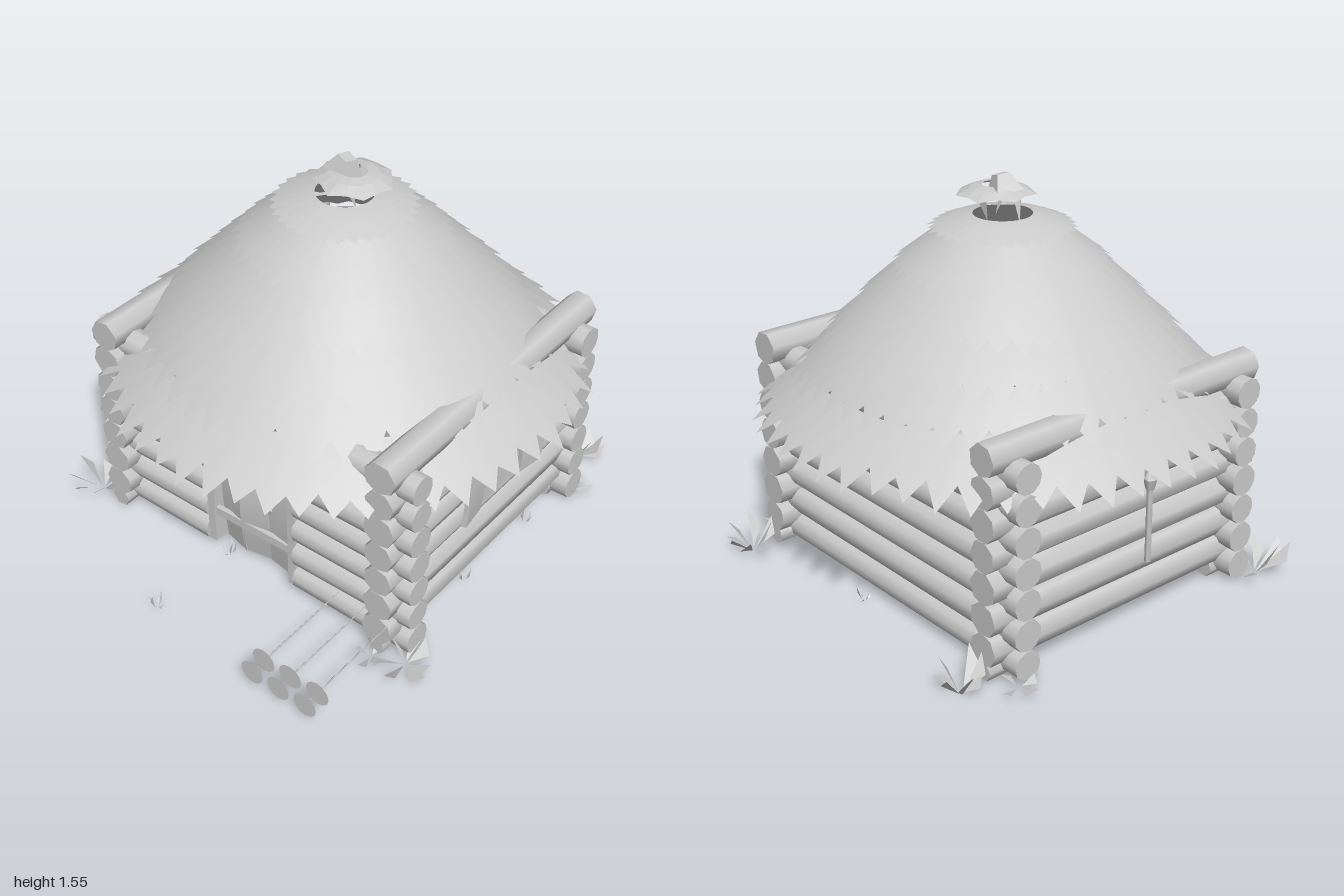
import * as THREE from 'three';

const mat = new THREE.MeshStandardMaterial({ color: 0xcccccc });
const thin = new THREE.MeshStandardMaterial({ color: 0xcccccc, side: THREE.DoubleSide });
const flat = new THREE.MeshStandardMaterial({ color: 0xcccccc, side: THREE.DoubleSide, flatShading: true });

let seed = 7;
const rand = () => (seed = (seed * 16807) % 2147483647) / 2147483647;
const jitter = (a) => (rand() - 0.5) * 2 * a;

function add(parent, name, geometry, material, x = 0, y = 0, z = 0) {
  const m = new THREE.Mesh(geometry, material);
  m.name = name;
  m.position.set(x, y, z);
  parent.add(m);
  return m;
}

function section(parent, name) {
  const g = new THREE.Group();
  g.name = name;
  parent.add(g);
  return g;
}

// Log lying along x or z, with slightly different end radii
function log(parent, name, axis, from, to, y, across, sides, r = 0.059) {
  const geo = new THREE.CylinderGeometry(r + jitter(0.003), r + jitter(0.003), to - from, sides);
  geo.rotateY(rand() * 6);
  if (axis === 'x') geo.rotateZ(Math.PI / 2);
  else geo.rotateX(Math.PI / 2);
  const mid = (from + to) / 2;
  return add(parent, name, geo, mat, axis === 'x' ? mid : across, y, axis === 'x' ? across : mid);
}

// Conical ring of thatch with a ragged, toothed lower edge
function thatchTier(r, y, rTop, yTop, teeth, depth) {
  const pos = [], idx = [], n = teeth * 2;
  const slope = (yTop - y) / (r - rTop);
  for (let i = 0; i < n; i++) {
    const a = (i / n) * Math.PI * 2;
    const inset = (i % 2 ? depth : 0) + rand() * depth * 0.35;
    const ro = r - inset;
    const rm = (r + rTop) / 2 - depth * 0.4;
    for (const [rr, yy] of [[ro, y + inset * slope], [rm, y + (r - rm) * slope + 0.008], [rTop, yTop]])
      pos.push(Math.sin(a) * rr, yy, Math.cos(a) * rr);
    const p = i * 3, q = ((i + 1) % n) * 3;
    for (let k = 0; k < 2; k++) idx.push(p + k, q + k, q + k + 1, p + k, q + k + 1, p + k + 1);
  }
  const geo = new THREE.BufferGeometry();
  geo.setAttribute('position', new THREE.Float32BufferAttribute(pos, 3));
  geo.setIndex(idx);
  geo.computeVertexNormals();
  return geo;
}

// Tuft of bent triangular blades spreading from one point
function tuft(parent, x, z, count, length, width, height) {
  const pos = [];
  for (let i = 0; i < count; i++) {
    const a = (i / count) * Math.PI * 2 + jitter(0.4);
    const l = length * (0.7 + rand() * 0.4), h = height * (0.3 + rand() * 0.7);
    const s = Math.sin(a), c = Math.cos(a), w = width / 2;
    pos.push(s * 0.01, 0.015, c * 0.01,
      s * l + c * w, h, c * l - s * w,
      s * l * 0.85 - c * w, h * 0.55, c * l * 0.85 + s * w);
  }
  const geo = new THREE.BufferGeometry();
  geo.setAttribute('position', new THREE.Float32BufferAttribute(pos, 3));
  geo.computeVertexNormals();
  add(parent, 'grassTuft', geo, flat, x, 0, z);
}

// Upright plank, bowed outward towards +z
function plankGeometry(w, h, d, bow, twist) {
  const geo = new THREE.BoxGeometry(w, h, d, 1, 6, 1);
  const p = geo.attributes.position;
  for (let i = 0; i < p.count; i++) {
    const t = p.getY(i) / h + 0.5;
    p.setZ(i, p.getZ(i) + Math.sin(t * Math.PI) * bow + p.getX(i) * twist);
    p.setX(i, p.getX(i) + Math.sin(t * Math.PI) * bow * 0.4);
  }
  geo.computeVertexNormals();
  return geo;
}

export function createModel() {
  seed = 7;
  const hut = new THREE.Group();
  hut.name = 'logHut';

  // Walls of stacked logs, front and back rows offset half a log from the sides
  const walls = section(hut, 'walls');
  for (let k = 0; k < 7; k++) {
    const y = 0.072 + k * 0.118;
    log(walls, 'backLog', 'x', -0.75, 0.76, y, -0.57, 10);
    if (k < 5) {
      log(walls, 'frontLogRight', 'x', -0.75, -0.21, y, 0.5, 10);
      log(walls, 'frontLogLeft', 'x', 0.22, 0.76, y, 0.5, 10);
    } else {
      log(walls, 'frontLog', 'x', -0.75, 0.76, y, 0.5, 10);
    }
    for (const x of [-0.64, 0.65])
      log(walls, 'sideLog', 'z', -0.68, 0.6, 0.128 + k * 0.119, x, 7, 0.064);
  }
  for (const x of [-0.64, 0.65])
    for (const [a, b] of [[0.42, 0.6], [-0.68, -0.5]])
      log(walls, 'footLog', 'z', a, b, 0.045, x, 6, 0.04);

  // Thatched roof in overlapping tiers
  const roof = section(hut, 'roof');
  roof.position.set(-0.005, 0, -0.045);
  const tips = [[0.955, 0.66], [0.8, 0.8], [0.69, 0.93], [0.56, 1.065], [0.42, 1.21]];
  tips.forEach(([r, y], i) => {
    const next = tips[i + 1];
    const [rt, yt] = next ? [next[0] - 0.09, next[1] + 0.045] : [0.17, 1.385];
    add(roof, 'thatchTier', thatchTier(r, y, rt, yt, 50 - i * 3, 0.075 - i * 0.01), thin);
  });
  add(roof, 'thatchCap', thatchTier(0.28, 1.355, 0.11, 1.405, 32, 0.025), thin);

  // Little hat on struts above the smoke hole
  const finial = section(roof, 'smokeHat');
  finial.position.set(0.01, 0, 0);
  add(finial, 'hatBrim', thatchTier(0.155, 1.47, 0.05, 1.505, 7, 0.02), flat).rotation.z = -0.02;
  const peak = add(finial, 'hatPeak', new THREE.CylinderGeometry(0.035, 0.075, 0.07, 4), flat, -0.01, 1.515, 0);
  peak.rotation.set(0.1, 0.5, -0.3);
  for (let i = 0; i < 3; i++) {
    const a = i * 2.1 + 0.9;
    const strut = add(finial, 'hatStrut', new THREE.ConeGeometry(0.022, 0.12, 4), flat,
      Math.sin(a) * 0.07, 1.43, Math.cos(a) * 0.07);
    strut.rotation.set(Math.PI + Math.cos(a) * 0.3, 0, -Math.sin(a) * 0.3);
  }

  // Plank door with posts, cross boards and handle
  const door = section(hut, 'door');
  for (const x of [-0.195, 0.205])
    add(door, 'doorPost', new THREE.BoxGeometry(0.035, 0.58, 0.09), mat, x, 0.32, 0.495);
  [[-0.115, 0.57, 0.03], [0.005, 0.61, 0.04], [0.12, 0.57, 0.03]].forEach(([x, h, bow], i) => {
    const p = add(door, 'doorPlank', plankGeometry(0.12, h, 0.03, bow, [0.25, -0.2, 0.15][i]), mat, x, 0.03 + h / 2, 0.48);
    p.rotation.z = [0.03, -0.02, 0][i];
  });
  add(door, 'crossBoard', new THREE.BoxGeometry(0.36, 0.035, 0.02), mat, 0.005, 0.19, 0.525).rotation.z = 0.02;
  const handle = add(door, 'doorHandle', new THREE.ConeGeometry(0.02, 0.04, 3), flat, 0.11, 0.345, 0.545);
  handle.rotation.x = Math.PI;

  // Shuttered window in the left wall
  const win = section(hut, 'window');
  win.position.set(0.715, 0.52, -0.04);
  win.rotation.y = Math.PI / 2;
  add(win, 'windowPane', new THREE.BoxGeometry(0.26, 0.23, 0.02), mat);
  for (const s of [-1, 1]) {
    const shutter = add(win, 'shutter', plankGeometry(0.12, 0.25, 0.02, 0.008, 0), mat, s * 0.19, 0, 0.02);
    shutter.rotation.y = -s * 0.15;
  }
  add(win, 'windowSill', new THREE.BoxGeometry(0.28, 0.02, 0.03), mat, 0, 0.122, 0);

  // Pointed stake leaning on the right wall
  const stake = section(hut, 'wallStake');
  stake.position.set(-0.785, 0, -0.04);
  add(stake, 'stakeShaft', new THREE.CylinderGeometry(0.012, 0.012, 0.3, 5), mat, 0, 0.45, 0);
  add(stake, 'stakeCollar', new THREE.CylinderGeometry(0.026, 0.016, 0.04, 5), mat, 0, 0.605, 0);
  add(stake, 'stakeTip', new THREE.ConeGeometry(0.026, 0.04, 5), mat, 0, 0.645, 0);

  // Row of round targets on thin rods beside the door
  const pile = section(hut, 'woodPile');
  for (let row = 0; row < 2; row++)
    for (let i = 0; i < 3; i++) {
      const x = 0.398 + i * 0.12 + row * 0.057, y = 0.07 + row * 0.1;
      add(pile, 'roundEnd', new THREE.CircleGeometry(0.05, 12), thin, x, y, 0.99);
      const rod = add(pile, 'thinRod', new THREE.CylinderGeometry(0.0025, 0.0025, 0.42, 4), mat, x, y, 0.78);
      rod.rotation.x = Math.PI / 2;
    }

  // Grass at the corners and along the walls
  const grass = section(hut, 'grass');
  for (const [x, z] of [[-0.66, -0.79], [0.65, -0.79]]) tuft(grass, x, z, 8, 0.1, 0.05, 0.16);
  for (const [x, z] of [[-0.76, 0.58], [0.77, 0.58]]) tuft(grass, x, z, 7, 0.13, 0.055, 0.17);
  for (const [x, z] of [[-0.76, -0.62], [0.74, -0.6], [0.65, 0.63]]) tuft(grass, x, z, 4, 0.08, 0.04, 0.06);
  for (const [x, z] of [[-0.13, 0.93], [0.69, 0.1], [0.69, -0.32], [0.05, -0.68], [-0.1, 0.55]])
    tuft(grass, x, z, 5, 0.03, 0.015, 0.1);

  return hut;
}
